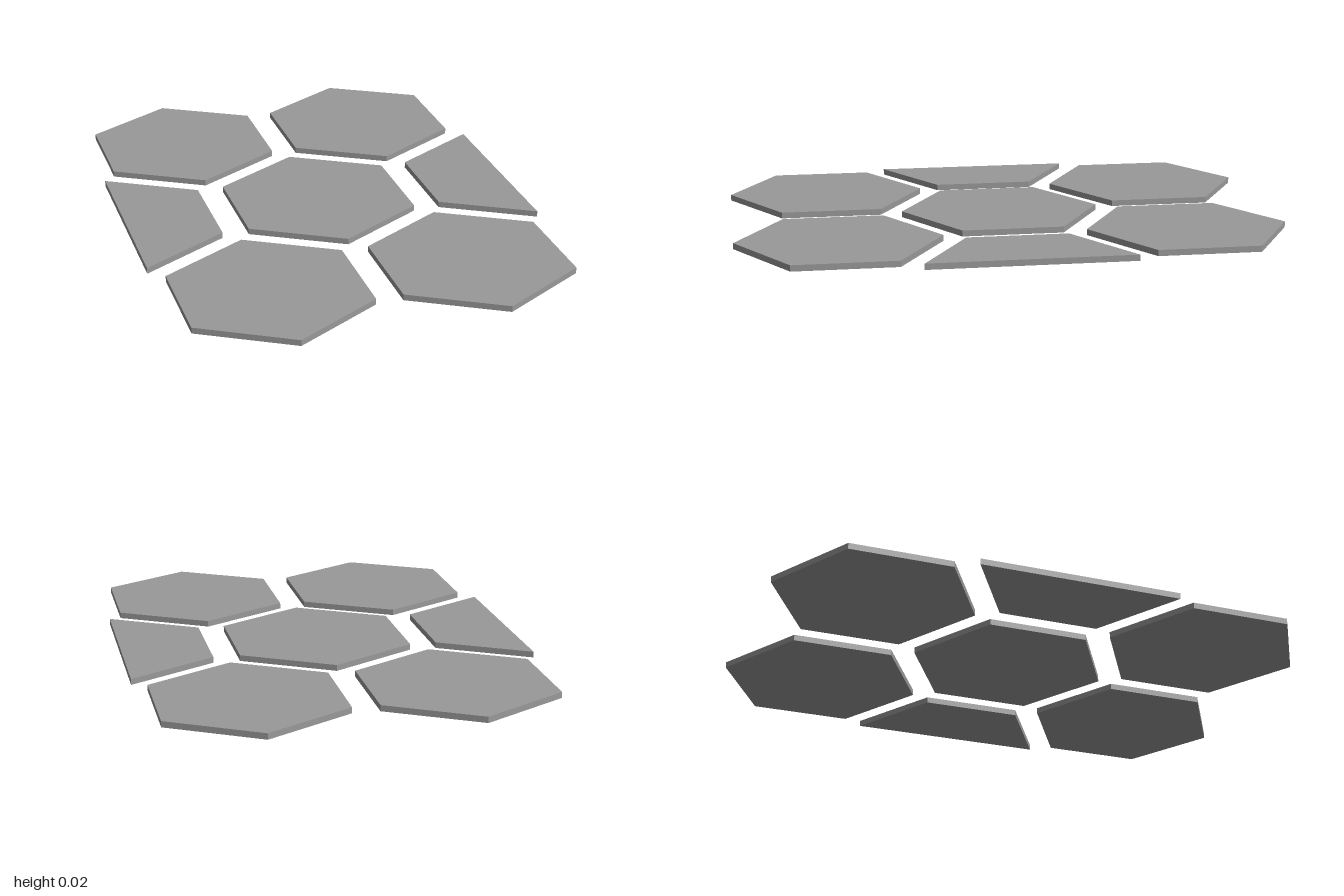
import * as THREE from 'three';

const R = 0.37;                      // tile corner radius
const W = R * Math.sqrt(3) / 2;      // half width across the flats
const H = 0.022;                     // tile thickness
const PITCH = 0.739;                 // spacing between tiles in a row
const ROW = 0.63;                    // spacing between rows

// Flat slab lying on the ground, extruded upwards from an outline
function slab(points) {
  const shape = new THREE.Shape(points.map(([x, y]) => new THREE.Vector2(x, y)));
  const geometry = new THREE.ExtrudeGeometry(shape, { depth: H, bevelEnabled: false });
  return geometry.rotateX(-Math.PI / 2);
}

export function createModel() {
  const group = new THREE.Group();
  const material = new THREE.MeshStandardMaterial({ color: 0x999999, flatShading: true });

  const add = (name, geometry, x, z, turn = 0) => {
    const mesh = new THREE.Mesh(geometry, material);
    mesh.name = name;
    mesh.position.set(x, 0, z);
    mesh.rotation.y = turn;
    group.add(mesh);
  };

  const hexagon = slab([[0, -R], [W, -R / 2], [W, R / 2], [0, R], [-W, R / 2], [-W, -R / 2]]);
  // Half tile with its cut side at x = 0, reaching towards +x
  const halfHexagon = slab([[0, -R], [W, -R / 2], [W, R / 2], [0, R]]);

  // Middle row: one whole tile between two halves
  add('centreTile', hexagon, 0, 0);
  add('rightHalfTile', halfHexagon, -PITCH, 0);
  add('leftHalfTile', halfHexagon, PITCH, 0, Math.PI);

  // Front and back rows: two whole tiles each
  for (const [row, sz] of [['front', 1], ['back', -1]]) {
    for (const [side, sx] of [['Left', 1], ['Right', -1]]) {
      add(`${row}${side}Tile`, hexagon, sx * PITCH / 2, sz * ROW);
    }
  }
  return group;
}
